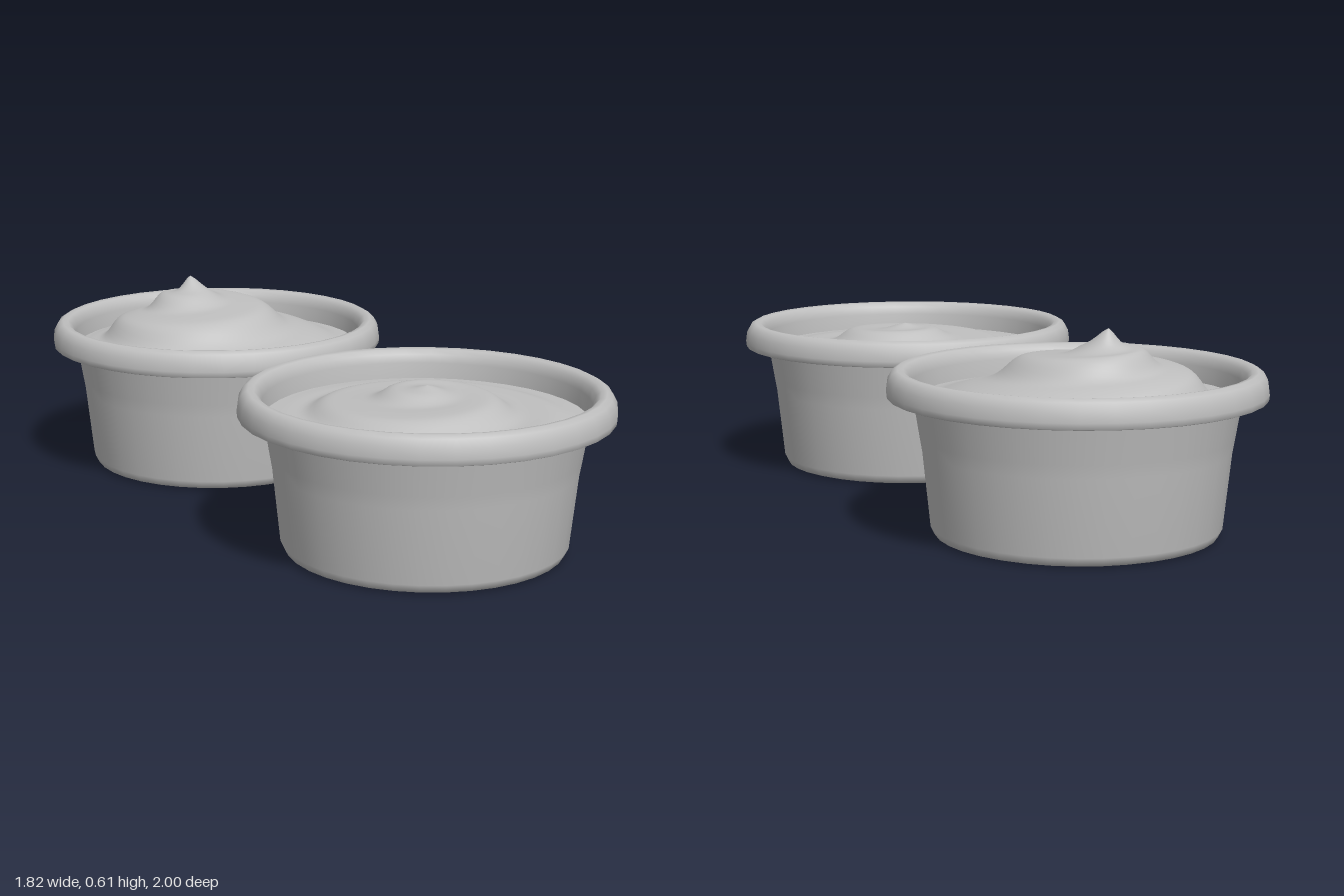
import * as THREE from 'three';
import { mergeVertices } from 'three/addons/utils/BufferGeometryUtils.js';

// Piecewise-smooth height lookup along evenly spaced samples
function sample(values, t) {
  const f = Math.min(Math.max(t, 0), 1) * (values.length - 1);
  const i = Math.min(Math.floor(f), values.length - 2);
  const p0 = values[Math.max(i - 1, 0)], p1 = values[i];
  const p2 = values[i + 1], p3 = values[Math.min(i + 2, values.length - 1)];
  const s = f - i;
  return p1 + 0.5 * s * (p2 - p0 + s * (2 * p0 - 5 * p1 + 4 * p2 - p3 + s * (3 * (p1 - p2) + p3 - p0)));
}

// Cup: recessed underside, tapered wall and rolled rim in one turned profile
function cupGeometry() {
  const profile = [
    [0, 0.15], [0.25, 0.15], [0.265, 0.145], [0.35, 0.02], [0.37, 0.004],
    [0.39, 0], [0.41, 0.006], [0.422, 0.03], [0.445, 0.25], [0.452, 0.29],
    [0.47, 0.4], [0.472, 0.408], [0.48, 0.41], [0.53, 0.405], [0.537, 0.4],
    [0.544, 0.403], [0.546, 0.42], [0.542, 0.45], [0.53, 0.472], [0.514, 0.481],
    [0.496, 0.478], [0.482, 0.465], [0.474, 0.44], [0.468, 0.38],
  ].map(([x, y]) => new THREE.Vector2(x, y));
  return new THREE.LatheGeometry(profile, 36);
}

// Whipped filling: off-centre mound with a spiral ridge fading at tip and edge
function fillingGeometry({ heights, tip, pitch, phase, ridge }) {
  const ring = new THREE.RingGeometry(0.0005, 1, 72, 32);
  ring.rotateX(-Math.PI / 2);
  ring.deleteAttribute('uv');
  ring.deleteAttribute('normal');
  const geo = mergeVertices(ring, 1e-5);
  const pos = geo.attributes.position;
  for (let i = 0; i < pos.count; i++) {
    const x = pos.getX(i), z = pos.getZ(i);
    const t = Math.hypot(x, z);
    const angle = Math.atan2(z, x);
    const fade = THREE.MathUtils.smoothstep(t, 0.04, 0.3) * (1 - THREE.MathUtils.smoothstep(t, 0.65, 0.95));
    const wave = angle + phase - (2 * Math.PI * t) / pitch;
    const swirl = Math.sin(wave + 0.4 * Math.sin(wave));
    pos.setXYZ(i, x * 0.471 + tip[0] * (1 - t), sample(heights, t) + ridge * fade * swirl, z * 0.471 + tip[1] * (1 - t));
  }
  geo.computeVertexNormals();
  return geo;
}

export function createModel() {
  const model = new THREE.Group();
  model.name = 'dipCups';
  const grey = new THREE.MeshStandardMaterial({ color: 0xbfbfbf });
  grey.name = 'plain grey';
  const cupShape = cupGeometry();

  const servings = [
    {
      name: 'backCup', x: -0.367, z: -0.454, tip: [-0.1, -0.075], pitch: 0.4, phase: 1.9, ridge: 0.014,
      heights: [0.607, 0.565, 0.545, 0.53, 0.512, 0.492, 0.468, 0.44, 0.415, 0.4, 0.392],
    },
    {
      name: 'frontCup', x: 0.364, z: 0.454, tip: [0, -0.04], pitch: 0.44, phase: 0.6, ridge: 0.012,
      heights: [0.476, 0.465, 0.457, 0.45, 0.44, 0.428, 0.417, 0.407, 0.4, 0.395, 0.392],
    },
  ];
  for (const s of servings) {
    const serving = new THREE.Group();
    serving.name = s.name;
    const cup = new THREE.Mesh(cupShape, grey);
    cup.name = 'cup';
    const filling = new THREE.Mesh(fillingGeometry(s), grey);
    filling.name = 'filling';
    serving.add(cup, filling);
    serving.position.set(s.x, 0, s.z);
    model.add(serving);
  }
  return model;
}
